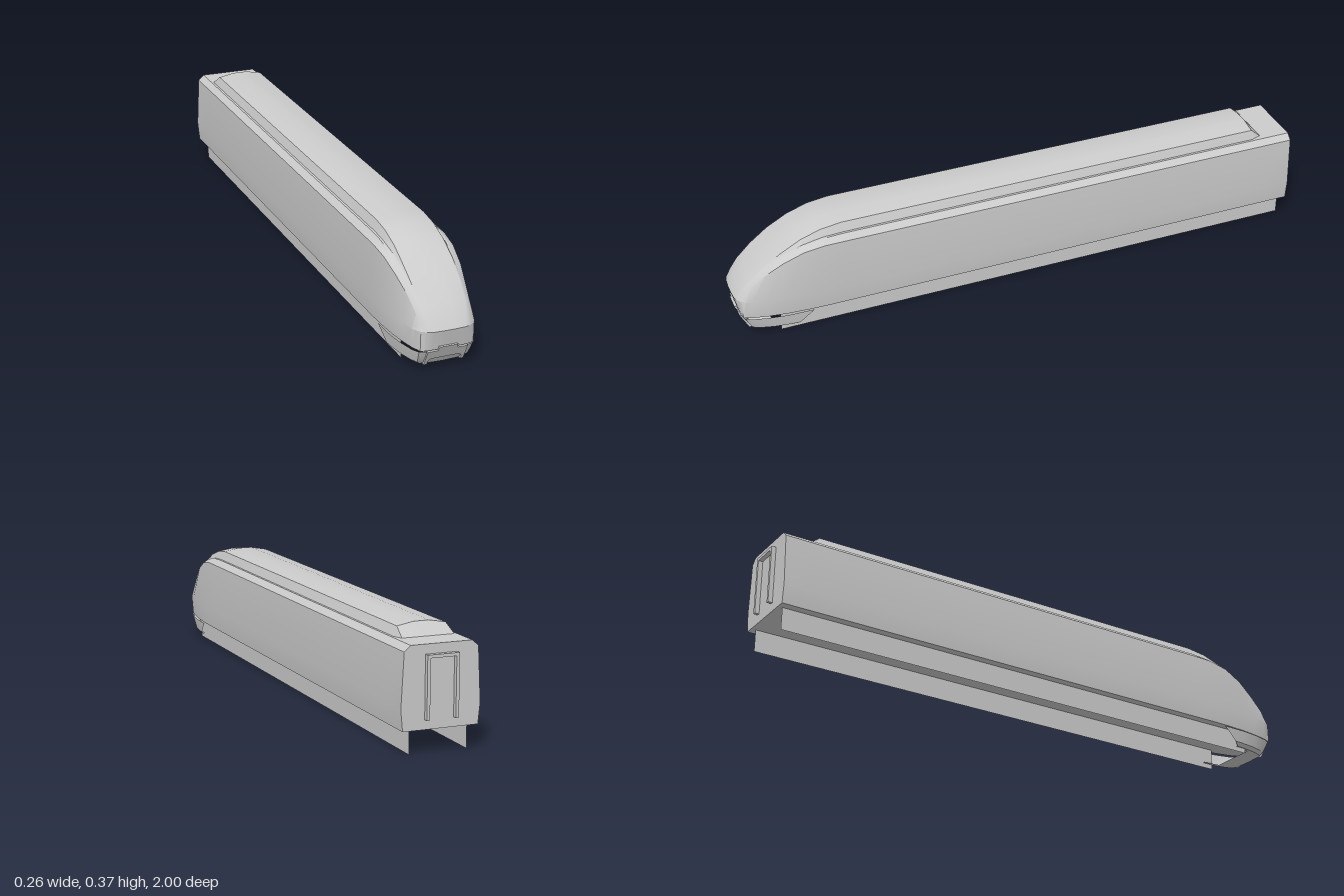
import * as THREE from 'three';
import { toCreasedNormals } from 'three/addons/utils/BufferGeometryUtils.js';

const grey = new THREE.MeshStandardMaterial({ color: 0xcccccc });
const thin = new THREE.MeshStandardMaterial({ color: 0xcccccc, side: THREE.DoubleSide });

function add(group, name, geometry, material = grey) {
  const mesh = new THREE.Mesh(geometry, material);
  mesh.name = name;
  group.add(mesh);
  return mesh;
}

// Skins rows of [x, y, z] points; closed rows can be capped at both ends.
function loft(rows, closed, crease = 0.42) {
  const pos = [];
  const tri = (a, b, c) => {
    const [A, B, C] = [a, b, c].map((p) => new THREE.Vector3(...p));
    if (new THREE.Triangle(A, B, C).getArea() > 1e-8) pos.push(...a, ...b, ...c);
  };
  const n = rows[0].length;
  for (let s = 0; s < rows.length - 1; s++) {
    for (let r = 0; r < (closed ? n : n - 1); r++) {
      const q = (r + 1) % n;
      const [a, b, c, d] = [rows[s][r], rows[s][q], rows[s + 1][r], rows[s + 1][q]];
      tri(a, b, c);
      tri(b, d, c);
    }
  }
  if (closed) {
    [rows[0], rows[rows.length - 1]].forEach((row, end) => {
      const mid = [0, 1, 2].map((k) => row.reduce((t, p) => t + p[k], 0) / n);
      for (let r = 0; r < n; r++) {
        const [a, b] = [row[r], row[(r + 1) % n]];
        if (end) tri(mid, a, b);
        else tri(mid, b, a);
      }
    });
  }
  const g = new THREE.BufferGeometry();
  g.setAttribute('position', new THREE.Float32BufferAttribute(pos, 3));
  return toCreasedNormals(g, crease);
}

const mirrorRow = (half) => [...half, ...half.slice(0, -1).reverse().map(([x, y, z]) => [-x, y, z])];

// Body stations: z, crown y, fairing edge x y, fairing foot x y,
// roof edge x y, shoulder x y, waist x, sweep-back of the shoulder
const stations = [
  [-0.985, 0.33, 0.08, 0.33, 0.092, 0.33, 0.1, 0.33, 0.12, 0.312, 0.129, 0],
  [-0.885, 0.33, 0.08, 0.33, 0.092, 0.33, 0.1, 0.33, 0.12, 0.312, 0.129, 0],
  [-0.85, 0.37, 0.08, 0.36, 0.092, 0.33, 0.1, 0.33, 0.12, 0.312, 0.129, 0],
  [0.63, 0.37, 0.08, 0.36, 0.092, 0.33, 0.1, 0.33, 0.12, 0.312, 0.129, 0],
  [0.7, 0.36, 0.08, 0.351, 0.091, 0.326, 0.099, 0.326, 0.119, 0.311, 0.129, 0],
  [0.77, 0.336, 0.08, 0.328, 0.09, 0.312, 0.096, 0.311, 0.115, 0.299, 0.127, 0],
  [0.84, 0.295, 0.08, 0.29, 0.086, 0.282, 0.092, 0.279, 0.107, 0.268, 0.122, 0],
  [0.9, 0.25, 0.077, 0.247, 0.082, 0.243, 0.088, 0.238, 0.096, 0.228, 0.113, 0],
  [0.95, 0.205, 0.07, 0.202, 0.076, 0.199, 0.081, 0.195, 0.089, 0.185, 0.102, 0],
  [0.98, 0.172, 0.06, 0.17, 0.069, 0.168, 0.076, 0.165, 0.087, 0.155, 0.094, 0.012],
  [1.0, 0.14, 0.05, 0.14, 0.062, 0.14, 0.072, 0.14, 0.086, 0.14, 0.086, 0.02],
  [0.985, 0.075, 0.05, 0.075, 0.064, 0.075, 0.075, 0.075, 0.087, 0.075, 0.087, 0.007],
];

function bodyRow([z, yc, x2, y2, x3, y3, x4, y4, x5, y5, xw, back]) {
  const zs = z - back;
  const xb = y5 < 0.141 ? 0.087 : Math.max(xw * 0.95, 0.087);
  return mirrorRow([
    [xb, 0.075, zs],
    [xw, Math.min(0.14, y5), zs],
    [x5, y5, zs],
    [x4, y4, z - back * 0.5],
    [x3, y3, z - back * 0.25],
    [x2, y2, z - back * 0.1],
    [x2 * 0.31, yc, z],
    [0, yc, z],
  ]);
}

// Nose apron: plan outline swept down through several levels
const apronPlan = [
  [0.122, 0.75], [0.12, 0.84], [0.112, 0.9], [0.1, 0.95], [0.088, 0.974], [0.065, 0.981], [0, 0.984],
];
function apronRow([y, scale, back, start, inset]) {
  return mirrorRow(apronPlan.map(([x, z], i) => [
    x * scale, y, (i === 0 ? start : z - back * (z - 0.75) / 0.234) - (i > 3 ? inset : 0),
  ]));
}

function apron() {
  const group = new THREE.Group();
  group.name = 'noseApron';
  const levels = [
    [0.071, 1, 0, 0.75, 0],
    [0.05, 0.975, 0.01, 0.775, 0],
    [0.027, 0.94, 0.023, 0.8, 0],
    [0.017, 0.83, 0.031, 0.82, 0],
    [0.018, 0.72, 0.031, 0.82, 0.02],
  ];
  add(group, 'apronShell', loft(levels.map(apronRow), false), thin);

  // Plate closing the front of the underside
  const rim = apronRow(levels[3]).filter((p) => p[2] > 0.87);
  const plate = [rim, rim.map(([x, y, z]) => [-x, y, z])].map((r) => r.slice(0, (r.length + 1) / 2));
  add(group, 'apronPlate', loft(plate, false), thin);

  // Coupler cover with a tab above and a slot below, leaning back
  const half = [[0.055, 0.017], [0.055, 0.03], [0.047, 0.04]];
  const outer = [[0.065, 0.017], [0.065, 0.072], [0.032, 0.072], [0.03, 0.086]];
  const outline = [...outer, ...outer.slice().reverse().map(([x, y]) => [-x, y]),
    ...half.map(([x, y]) => [-x, y]), ...half.slice().reverse()];
  const cover = new THREE.ExtrudeGeometry(
    new THREE.Shape(outline.map(([x, y]) => new THREE.Vector2(x, y))),
    { depth: 0.012, bevelEnabled: false });
  const p = cover.attributes.position;
  for (let i = 0; i < p.count; i++) {
    p.setZ(i, p.getZ(i) + 0.976 + (p.getY(i) - 0.072) * 0.52);
  }
  cover.computeVertexNormals();
  add(group, 'couplerCover', cover);
  return group;
}

export function createModel() {
  const model = new THREE.Group();
  model.name = 'trainCar';

  add(model, 'body', loft(stations.map(bodyRow), true));
  model.add(apron());

  // Thin skirts below the floor
  for (const side of [-1, 1]) {
    const skirt = add(model, side > 0 ? 'leftSkirt' : 'rightSkirt', new THREE.PlaneGeometry(1.83, 0.076), thin);
    skirt.rotation.y = side * Math.PI / 2;
    skirt.position.set(side * 0.094, 0.038, -0.055);
  }

  // Gangway frame on the tail
  const frame = new THREE.Group();
  frame.name = 'gangwayFrame';
  for (const side of [-1, 1]) {
    add(frame, 'framePost', new THREE.BoxGeometry(0.01, 0.19, 0.018)).position.set(side * 0.047, 0.2, -0.991);
  }
  add(frame, 'frameTop', new THREE.BoxGeometry(0.104, 0.01, 0.018)).position.set(0, 0.295, -0.991);
  model.add(frame);

  return model;
}
